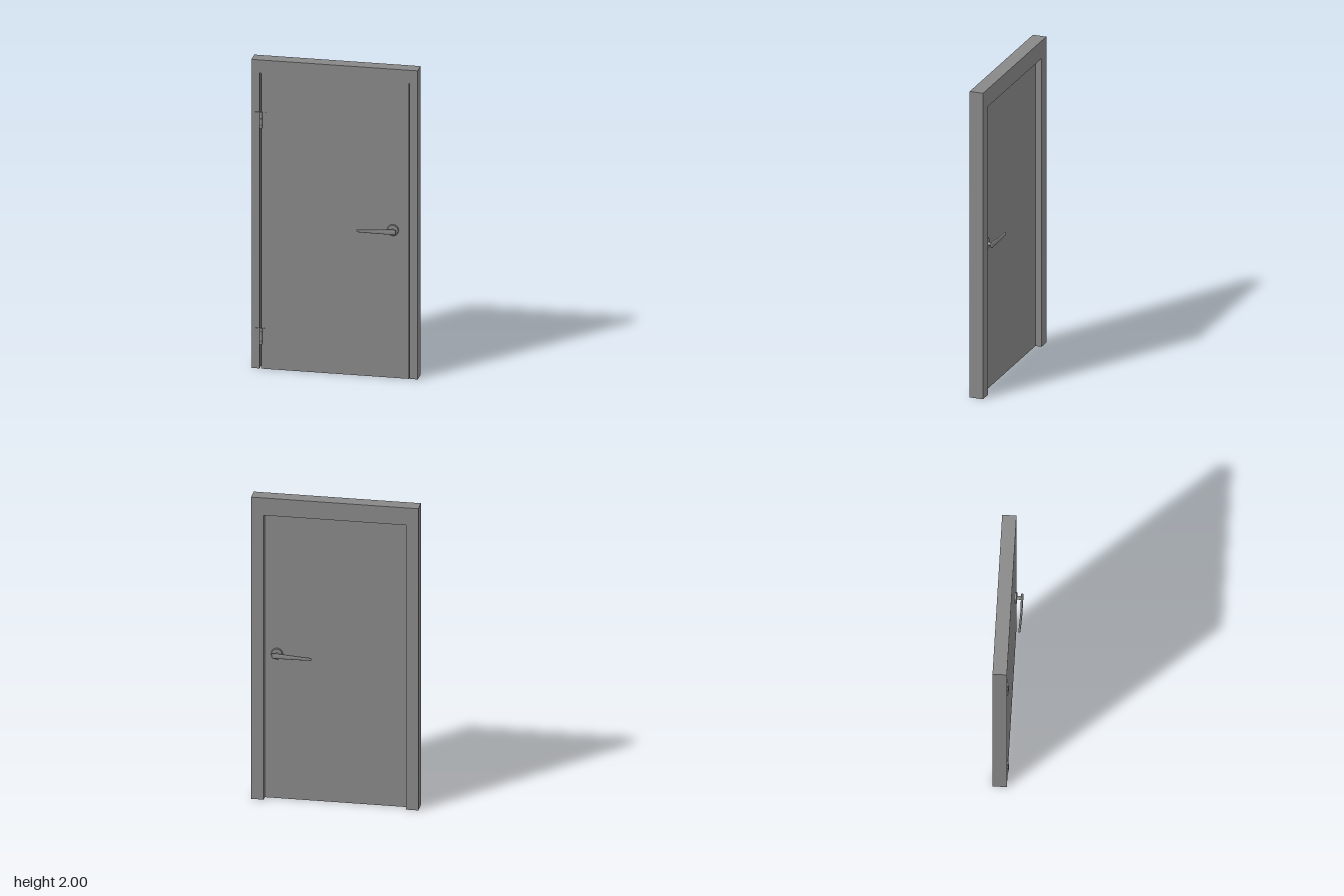
import * as THREE from 'three';

const FRONT = 0.0225, BACK = -0.065, SLAB_BACK = -0.025;
const material = new THREE.MeshStandardMaterial({ color: 0x888888 });

function addMesh(parent, name, geometry, x = 0, y = 0, z = 0) {
  const mesh = new THREE.Mesh(geometry, material);
  mesh.name = name;
  mesh.position.set(x, y, z);
  parent.add(mesh);
  return mesh;
}

// Box given by its limits on each axis
function addBox(parent, name, [x0, x1], [y0, y1], [z0, z1]) {
  return addMesh(parent, name, new THREE.BoxGeometry(x1 - x0, y1 - y0, z1 - z0),
    (x0 + x1) / 2, (y0 + y1) / 2, (z0 + z1) / 2);
}

// Three-sided surround, open at the floor
function addSurround(parent, name, outer, inner, z0, z1) {
  const shape = new THREE.Shape([
    [outer.left, 0], [inner.left, 0], [inner.left, inner.top], [inner.right, inner.top],
    [inner.right, 0], [outer.right, 0], [outer.right, outer.top], [outer.left, outer.top],
  ].map(([x, y]) => new THREE.Vector2(x, y)));
  const geometry = new THREE.ExtrudeGeometry(shape, { depth: z1 - z0, bevelEnabled: false });
  return addMesh(parent, name, geometry, 0, 0, z0);
}

// Cylinder lying along z
function addDisc(parent, name, radius, z0, z1, x = 0, y = 0, sides = 32) {
  const geometry = new THREE.CylinderGeometry(radius, radius, z1 - z0, sides).rotateX(Math.PI / 2);
  return addMesh(parent, name, geometry, x, y, (z0 + z1) / 2);
}

// Tapered, gently bowed grip lofted through rounded sections
function leverGeometry() {
  // x, y centre, z centre, half height, half depth
  const sections = [
    [0.026, 0, 0.0425, 0.011, 0.005], [0.022, 0, 0.0425, 0.016, 0.0075],
    [-0.01, 0, 0.043, 0.0165, 0.0075], [-0.07, -0.001, 0.044, 0.0145, 0.0065],
    [-0.12, -0.003, 0.0435, 0.0125, 0.0065], [-0.17, -0.005, 0.041, 0.0105, 0.0065],
    [-0.214, -0.007, 0.0385, 0.0085, 0.0065], [-0.219, -0.007, 0.038, 0.005, 0.004],
  ];
  const sides = 16, positions = [], index = [];
  const soft = (v) => Math.sign(v) * Math.pow(Math.abs(v), 0.7);
  for (const [x, y, z, h, d] of sections) {
    for (let i = 0; i < sides; i++) {
      const a = (i / sides) * Math.PI * 2;
      positions.push(x, y + h * soft(Math.cos(a)), z + d * soft(Math.sin(a)));
    }
  }
  for (let s = 0; s < sections.length - 1; s++) {
    for (let i = 0; i < sides; i++) {
      const a = s * sides + i, b = s * sides + (i + 1) % sides;
      index.push(a, a + sides, b, b, a + sides, b + sides);
    }
  }
  // End caps
  const last = (sections.length - 1) * sides;
  for (let i = 1; i < sides - 1; i++) {
    index.push(0, i, i + 1, last, last + i + 1, last + i);
  }
  const geometry = new THREE.BufferGeometry();
  geometry.setAttribute('position', new THREE.Float32BufferAttribute(positions, 3));
  geometry.setIndex(index);
  geometry.computeVertexNormals();
  return geometry;
}

// Handle set with its rose seated on z = 0
function makeHandle(name) {
  const handle = new THREE.Group();
  handle.name = name;
  const rose = new THREE.LatheGeometry([
    [0.036, 0], [0.036, 0.008], [0.033, 0.012], [0, 0.012],
  ].map(([r, h]) => new THREE.Vector2(r, h)), 32).toNonIndexed();
  rose.rotateX(Math.PI / 2);
  rose.computeVertexNormals();
  addMesh(handle, 'rose', rose);
  addDisc(handle, 'neck', 0.011, 0.011, 0.04, 0, 0, 24);
  addMesh(handle, 'lever', leverGeometry());
  return handle;
}

// Butt hinge: two leaves, a segmented knuckle and screws
function makeHinge(name) {
  const hinge = new THREE.Group();
  hinge.name = name;
  const half = 0.052, pinX = -0.458;
  addBox(hinge, 'frameLeaf', [-0.493, pinX], [-half, half], [FRONT - 0.002, FRONT + 0.006]);
  addBox(hinge, 'doorLeaf', [pinX, -0.426], [-half, half], [FRONT - 0.002, FRONT + 0.002]);
  const segments = 5, length = (2 * half) / segments;
  for (let i = 0; i < segments; i++) {
    addMesh(hinge, 'knuckle', new THREE.CylinderGeometry(0.009, 0.009, length - 0.001, 16),
      pinX, -half + (i + 0.5) * length, FRONT + 0.001);
  }
  for (const y of [-0.034, 0, 0.034]) {
    addDisc(hinge, 'screw', 0.006, FRONT, FRONT + 0.007, -0.48, y, 12);
  }
  return hinge;
}

export function createModel() {
  const model = new THREE.Group();
  model.name = 'door';

  // Frame with a narrower stop behind the slab
  const outer = { left: -0.518, right: 0.518, top: 2 };
  const rebate = { left: -0.468, right: 0.467, top: 1.914 };
  const opening = { left: -0.44, right: 0.44, top: 1.885 };
  addSurround(model, 'frame', outer, rebate, BACK, FRONT);
  addSurround(model, 'doorStop', rebate, opening, BACK, SLAB_BACK);

  // Slab, flush with the front of the frame
  addBox(model, 'slab', [-0.455, 0.462], [0, rebate.top], [SLAB_BACK, FRONT]);

  // Hinges
  for (const [name, y] of [['upperHinge', 1.612], ['lowerHinge', 0.211]]) {
    const hinge = makeHinge(name);
    hinge.position.y = y;
    model.add(hinge);
  }

  // Handles on both faces, the rear one mirrored through the slab
  const frontHandle = makeHandle('frontHandle');
  frontHandle.position.set(0.364, 0.958, FRONT);
  const backHandle = makeHandle('backHandle');
  backHandle.position.set(0.364, 0.958, SLAB_BACK);
  backHandle.scale.z = -1;
  model.add(frontHandle, backHandle);

  return model;
}
